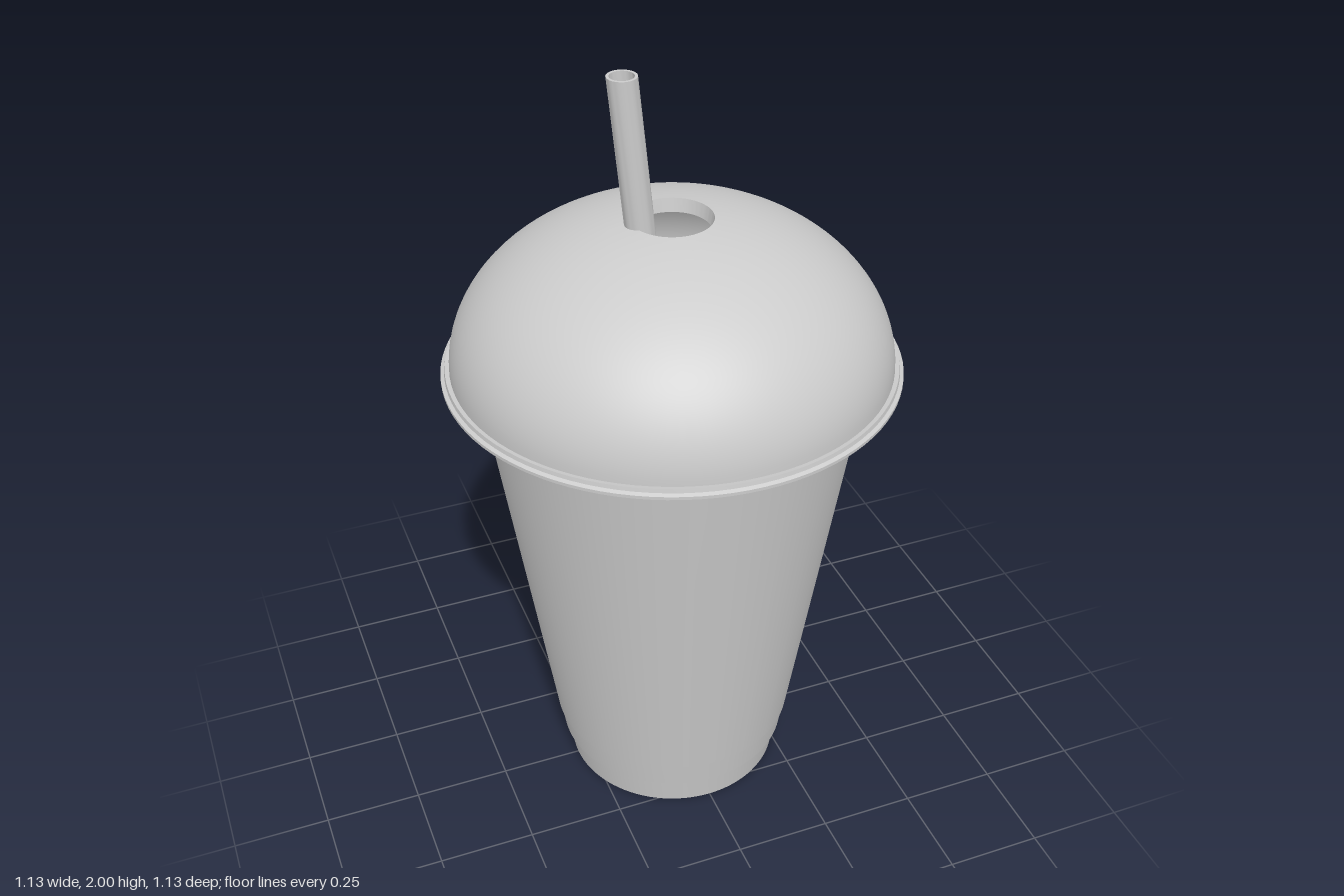
import * as THREE from 'three';
import { toCreasedNormals } from 'three/addons/utils/BufferGeometryUtils.js';

const SIDES = 96;

// Revolved part from [radius, height] pairs; the optional rule bends it
function revolve(name, profile, sides = SIDES, bend = null) {
  const points = profile.map(([r, y]) => new THREE.Vector2(r, y));
  const geometry = new THREE.LatheGeometry(points, sides);
  if (bend) bend(geometry.attributes.position);
  const material = new THREE.MeshStandardMaterial({ color: 0xcccccc, side: THREE.DoubleSide });
  const mesh = new THREE.Mesh(toCreasedNormals(geometry, 0.5), material);
  mesh.name = name;
  return mesh;
}

// Elliptical arc running from the dome's rim (t = 0) to its hole (t = 1)
function domeArc(a, b, y0, holeRadius, steps = 28) {
  const end = Math.acos(holeRadius / a);
  return Array.from({ length: steps + 1 }, (_, i) => {
    const t = (end * i) / steps;
    return [a * Math.cos(t), y0 + b * Math.sin(t)];
  });
}

export function createModel() {
  const group = new THREE.Group();
  group.name = 'lidded cup';

  // Tapered cup with a stepped foot and a hollow inside
  group.add(revolve('cup', [
    [0, 0], [0.285, 0], [0.297, 0.08], [0.307, 0.083], [0.318, 0.155], [0.322, 0.157],
    [0.476, 1.19], [0.482, 1.23], [0.468, 1.23], [0.462, 1.19], [0.28, 0.02], [0, 0.02],
  ]));

  // Drink seen through the opening
  group.add(revolve('drink', [[0.445, 1.07], [0, 1.07]]));

  // Domed lid: collar, flared flange, dome, lipped opening and inner wall
  group.add(revolve('lid', [
    [0.478, 1.192], [0.505, 1.192], [0.521, 1.236], [0.567, 1.236], [0.567, 1.244],
    [0.558, 1.248], [0.556, 1.258],
    ...domeArc(0.545, 0.385, 1.256, 0.1),
    [0.094, 1.6],
    ...domeArc(0.53, 0.35, 1.256, 0.098).reverse(),
    [0.49, 1.236], [0.478, 1.192],
  ]));

  // Hollow straw leaning towards -x, with level ends
  group.add(revolve('straw', [
    [0.036, 1.04], [0.036, 2], [0.029, 2], [0.029, 1.04], [0.036, 1.04],
  ], 32, (position) => {
    for (let i = 0; i < position.count; i++) {
      position.setX(i, position.getX(i) - 0.118 + 0.1 * (2 - position.getY(i)));
    }
  }));

  return group;
}
